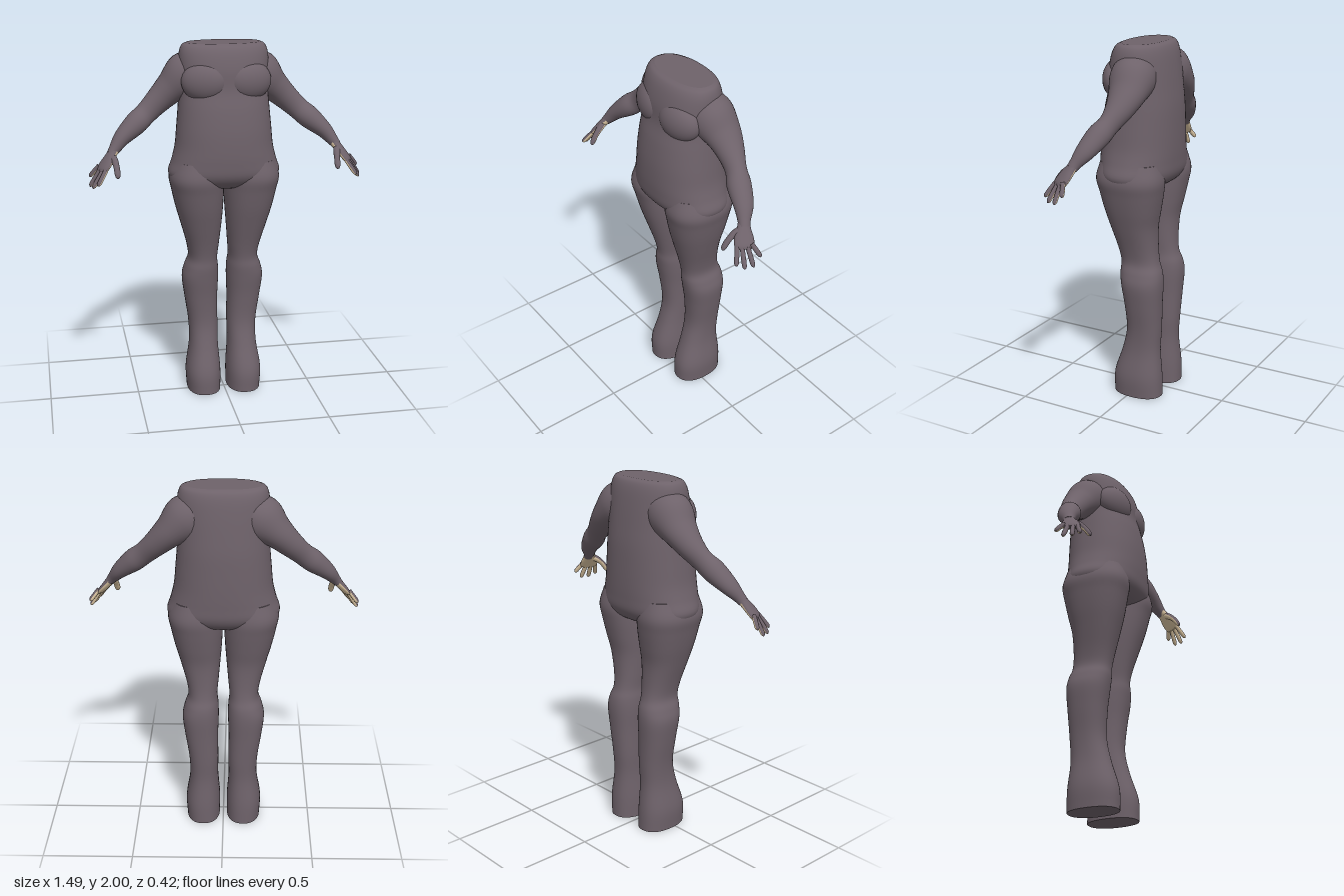
import * as THREE from 'three';

const V = (x, y, z) => new THREE.Vector3(x, y, z);

// Smooth skin through sections [x, y, z, halfWidth, halfDepth].
// Without "ref" sections stay horizontal (listed top down); with it they follow the path.
function loft(keys, { ref = null, power = 2, seg = 32, steps = 5, palm = null } = {}) {
  const path = new THREE.CatmullRomCurve3(keys.map(k => V(k[0], k[1], k[2])), false, 'catmullrom', 0.5);
  const size = new THREE.CatmullRomCurve3(keys.map(k => V(k[3], k[4], 0)), false, 'catmullrom', 0.5);
  const n = (keys.length - 1) * steps;
  const pos = [], index = [];
  const bend = c => Math.sign(c) * Math.pow(Math.abs(c), 2 / power);
  for (let i = 0; i <= n; i++) {
    const c = path.getPoint(i / n), r = size.getPoint(i / n);
    let u = V(1, 0, 0), v = V(0, 0, 1);
    if (ref) {
      const t = path.getTangent(i / n);
      v = ref.clone().addScaledVector(t, -ref.dot(t)).normalize();
      u = v.clone().cross(t);
    }
    for (let j = 0; j < seg; j++) {
      const a = j / seg * Math.PI * 2;
      const p = c.clone().addScaledVector(u, r.x * bend(Math.cos(a))).addScaledVector(v, r.y * bend(Math.sin(a)));
      pos.push(p.x, p.y, p.z);
    }
  }
  for (let i = 0; i < n; i++) for (let j = 0; j < seg; j++) {
    const k = (j + 1) % seg, a = i * seg, b = a + seg;
    index.push(a + j, a + k, b + j, a + k, b + k, b + j);
  }
  // Flat end caps with their own vertices, so the rim stays sharp
  for (const end of [0, n]) {
    const base = pos.length / 3, c = path.getPoint(end / n);
    for (let j = 0; j < seg * 3; j++) pos.push(pos[end * seg * 3 + j]);
    pos.push(c.x, c.y, c.z);
    for (let j = 0; j < seg; j++) {
      const k = (j + 1) % seg;
      if (end) index.push(base + seg, base + j, base + k);
      else index.push(base + seg, base + k, base + j);
    }
  }
  const geo = new THREE.BufferGeometry();
  geo.setAttribute('position', new THREE.Float32BufferAttribute(pos, 3));

  // Faces turned to the palm side go to a second material
  if (palm) {
    const at = i => V(pos[i * 3], pos[i * 3 + 1], pos[i * 3 + 2]);
    const back = [], front = [];
    for (let i = 0; i < index.length; i += 3) {
      const [a, b, c] = [at(index[i]), at(index[i + 1]), at(index[i + 2])];
      const normal = b.sub(a).cross(c.sub(a)).normalize();
      (normal.dot(palm) > 0.15 ? front : back).push(index[i], index[i + 1], index[i + 2]);
    }
    geo.setIndex([...back, ...front]);
    geo.addGroup(0, back.length, 0);
    geo.addGroup(back.length, front.length, 1);
  } else geo.setIndex(index);
  geo.computeVertexNormals();
  return geo;
}

export function createModel() {
  const model = new THREE.Group();
  model.name = 'headlessBody';
  const skin = new THREE.MeshStandardMaterial({ color: 0x6e626a });
  skin.name = 'greySkin';
  const pad = new THREE.MeshStandardMaterial({ color: 0xd9c3a0 });
  pad.name = 'palePalm';
  const add = (parent, name, geo, mat = skin) => {
    const mesh = new THREE.Mesh(geo, mat);
    mesh.name = name;
    parent.add(mesh);
    return mesh;
  };

  // Torso from the flat neck cut down to the crotch
  add(model, 'torso', loft([
    [0, 2.0, -0.015, 0.2, 0.1],
    [0, 1.985, -0.013, 0.225, 0.128],
    [0, 1.94, -0.01, 0.24, 0.15],
    [0, 1.86, -0.008, 0.243, 0.168],
    [0, 1.76, -0.012, 0.24, 0.178],
    [0, 1.66, -0.006, 0.248, 0.195],
    [0, 1.55, 0, 0.258, 0.205],
    [0, 1.45, 0.002, 0.268, 0.208],
    [0, 1.37, 0.002, 0.287, 0.206],
    [0, 1.3, 0, 0.307, 0.198],
    [0, 1.25, -0.003, 0.27, 0.165],
    [0, 1.22, -0.005, 0.17, 0.11],
    [0, 1.205, -0.005, 0.04, 0.03],
  ], { power: 2.25, seg: 56 }));

  for (const s of [1, -1]) {
    const side = s > 0 ? 'left' : 'right';
    const flip = keys => keys.map(([x, ...rest]) => [s * x, ...rest]);

    // Chest muscle with a soft fold below
    const chest = new THREE.SphereGeometry(1, 32, 20).scale(0.125, 0.105, 0.075);
    chest.rotateY(s * 0.25).translate(s * 0.12, 1.805, 0.098);
    add(model, side + 'Chest', chest);

    // Leg, flaring into a boot-like foot with a flat sole
    add(model, side + 'Leg', loft(flip([
      [0.15, 1.37, 0, 0.125, 0.17],
      [0.155, 1.28, 0, 0.148, 0.19],
      [0.147, 1.2, -0.003, 0.143, 0.177],
      [0.138, 1.1, -0.005, 0.13, 0.156],
      [0.128, 1.0, -0.01, 0.112, 0.132],
      [0.117, 0.88, -0.027, 0.09, 0.114],
      [0.115, 0.8, -0.04, 0.081, 0.11],
      [0.122, 0.74, -0.05, 0.094, 0.119],
      [0.128, 0.67, -0.057, 0.102, 0.118],
      [0.123, 0.55, -0.062, 0.093, 0.106],
      [0.112, 0.4, -0.062, 0.083, 0.099],
      [0.112, 0.27, -0.045, 0.082, 0.11],
      [0.118, 0.12, -0.028, 0.098, 0.14],
      [0.116, 0, -0.028, 0.095, 0.143],
    ]), { power: 2.3, seg: 40 }));

    // Arm from inside the shoulder to the wrist
    const arm = new THREE.Group();
    arm.name = side + 'Arm';
    model.add(arm);
    add(arm, 'armSkin', loft(flip([
      [0.12, 1.865, -0.03, 0.1, 0.11],
      [0.2, 1.82, -0.04, 0.125, 0.12],
      [0.28, 1.755, -0.05, 0.088, 0.1],
      [0.35, 1.69, -0.045, 0.07, 0.075],
      [0.42, 1.625, -0.026, 0.06, 0.054],
      [0.48, 1.575, 0, 0.061, 0.063],
      [0.555, 1.51, 0.03, 0.045, 0.053],
      [0.6, 1.455, 0.06, 0.031, 0.034],
      [0.62, 1.43, 0.072, 0.025, 0.03],
    ]), { ref: V(0, 0, 1) }));

    // Hand with a pale palm side
    const backOfHand = V(s * 0.69, 0.65, 0.31).normalize();
    const palm = backOfHand.clone().negate();
    const hand = { ref: backOfHand, palm, seg: 20 };
    add(arm, 'palm', loft(flip([
      [0.6, 1.455, 0.06, 0.029, 0.026],
      [0.622, 1.425, 0.078, 0.036, 0.023],
      [0.648, 1.39, 0.097, 0.05, 0.02],
      [0.67, 1.36, 0.111, 0.05, 0.017],
      [0.68, 1.347, 0.117, 0.034, 0.009],
    ]), hand), [skin, pad]);

    const fingers = [
      ['indexFinger', [0.655, 1.36, 0.145], [0.702, 1.287, 0.185]],
      ['middleFinger', [0.67, 1.354, 0.125], [0.727, 1.267, 0.15]],
      ['ringFinger', [0.682, 1.358, 0.1], [0.74, 1.267, 0.104]],
      ['littleFinger', [0.688, 1.372, 0.08], [0.738, 1.31, 0.058]],
    ];
    for (const [name, from, to] of fingers) {
      const keys = [[0, 0.012], [0.35, 0.0125], [0.7, 0.0125], [0.9, 0.0105], [1, 0.003]]
        .map(([t, r]) => [...V(...from).lerp(V(...to), t).toArray(), r, r]);
      add(arm, name, loft(flip(keys), { ...hand, seg: 14, steps: 3 }), [skin, pad]);
    }
    add(arm, 'thumb', loft(flip([
      [0.622, 1.425, 0.08, 0.021, 0.02],
      [0.607, 1.408, 0.118, 0.019, 0.018],
      [0.6, 1.38, 0.152, 0.016, 0.015],
      [0.597, 1.35, 0.175, 0.016, 0.014],
      [0.596, 1.332, 0.185, 0.012, 0.011],
      [0.595, 1.324, 0.189, 0.004, 0.004],
    ]), { ref: V(0, 0.6, 0.8), palm: V(-s * 0.1, -0.5, -0.86), seg: 16 }), [skin, pad]);
  }
  return model;
}
